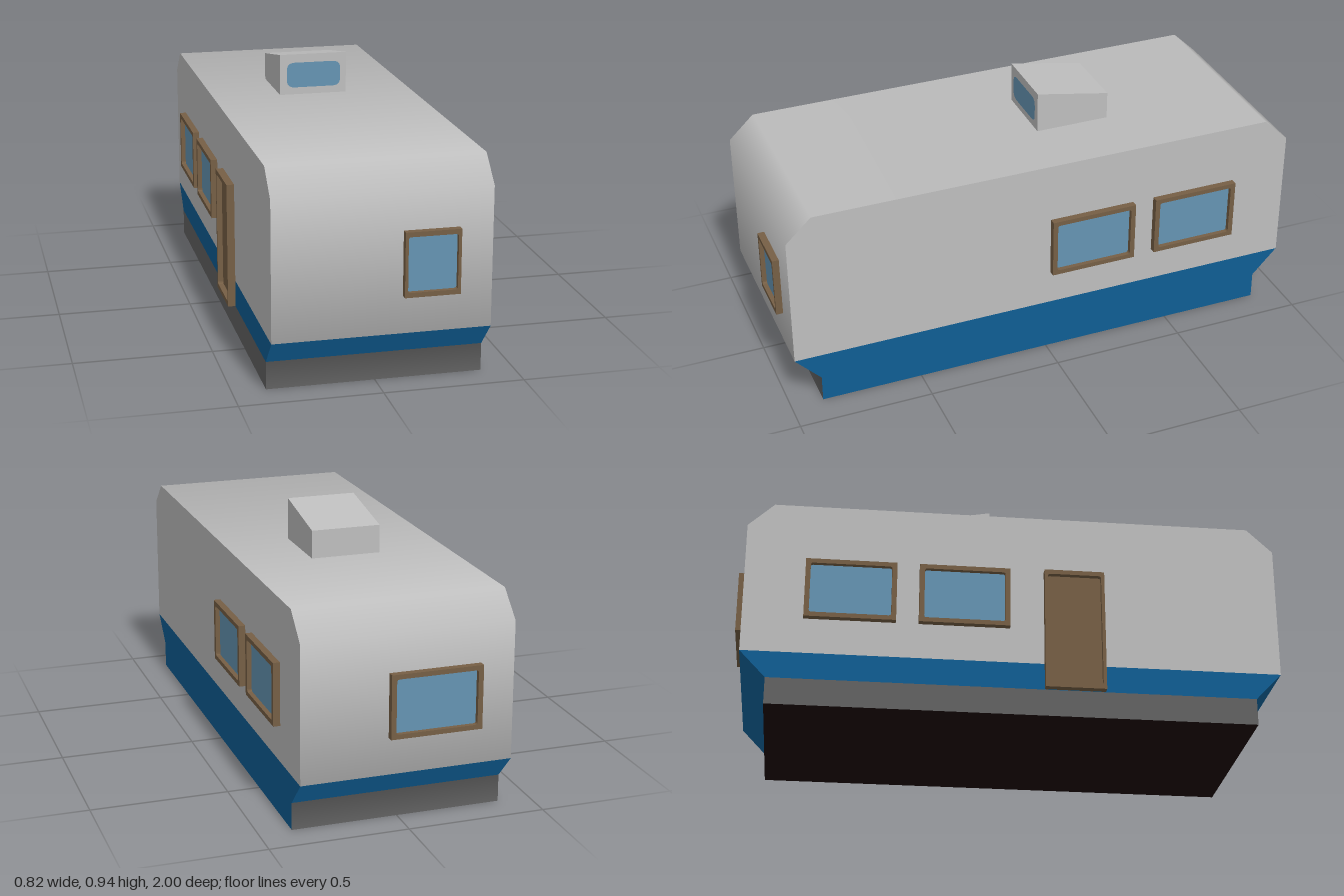
import * as THREE from 'three';

const mat = (name, color) => {
  const m = new THREE.MeshStandardMaterial({ color });
  m.name = name;
  return m;
};

export function createModel() {
  const root = new THREE.Group();
  root.name = 'caravan';
  const shell = mat('shell grey', 0xbebebe);
  const blue = mat('stripe blue', 0x0f5e94);
  const dark = mat('skirt grey', 0x626262);
  const wood = mat('frame brown', 0x765f45);
  const glass = mat('window glass', 0x6594b3);
  const under = mat('underside', 0x1c0909);

  const add = (parent, name, geo, material) => {
    const m = new THREE.Mesh(geo, material);
    m.name = name;
    parent.add(m);
    return m;
  };

  // Body outline as (z, y), from the front foot over the roof to the rear foot
  const W = 0.382;
  const half = [[0.88, 0], [0.88, 0.1], [0.975, 0.2], [0.975, 0.7], [0.88, 0.79]];
  const outline = [...half, ...half.map(([z, y]) => [-z, y]).reverse()];
  const segNormal = (i) => {
    const [a, b] = [outline[i], outline[i + 1]];
    return new THREE.Vector3(0, a[0] - b[0], b[1] - a[1]).normalize();
  };
  const pointNormal = (i) => {
    if (i === 0) return segNormal(0);
    if (i === outline.length - 1) return segNormal(i - 1);
    return segNormal(i - 1).add(segNormal(i)).normalize();
  };

  // Smooth strips across the width, one mesh per colour
  function strip(name, segments, material) {
    const pos = [], nor = [];
    for (const s of segments) {
      const corners = [[-1, s], [1, s], [1, s + 1], [-1, s], [1, s + 1], [-1, s + 1]];
      for (const [side, i] of corners) {
        pos.push(side * W, outline[i][1], outline[i][0]);
        nor.push(...pointNormal(i).toArray());
      }
    }
    const g = new THREE.BufferGeometry();
    g.setAttribute('position', new THREE.Float32BufferAttribute(pos, 3));
    g.setAttribute('normal', new THREE.Float32BufferAttribute(nor, 3));
    add(root, name, g, material);
  }
  strip('roofAndEnds', [2, 3, 4, 5, 6], shell);
  strip('endStripes', [1, 7], blue);
  strip('endSkirts', [0, 8], dark);

  // Flat side walls, cut from the same outline
  function wall(name, side, indices, material) {
    const shape = new THREE.Shape(indices.map((i) => new THREE.Vector2(...outline[i])));
    const m = add(root, name, new THREE.ShapeGeometry(shape), material);
    m.rotation.y = side * Math.PI / 2;
    m.position.x = side * W;
  }
  wall('leftWall', 1, [2, 3, 4, 5, 6, 7], shell);
  wall('leftStripe', 1, [0, 1, 2, 7, 8, 9], blue);
  wall('rightWall', -1, [2, 3, 4, 5, 6, 7], shell);
  wall('rightStripe', -1, [1, 2, 7, 8], blue);
  wall('rightSkirt', -1, [0, 1, 8, 9], dark);
  add(root, 'floor', new THREE.PlaneGeometry(2 * W, 1.76), under).rotation.x = Math.PI / 2;

  // Rounded rectangle path
  function rounded(w, h, r, Type) {
    const p = new Type(), x = w / 2, y = h / 2;
    p.moveTo(-x + r, -y);
    p.lineTo(x - r, -y).quadraticCurveTo(x, -y, x, -y + r);
    p.lineTo(x, y - r).quadraticCurveTo(x, y, x - r, y);
    p.lineTo(-x + r, y).quadraticCurveTo(-x, y, -x, y - r);
    p.lineTo(-x, -y + r).quadraticCurveTo(-x, -y, -x + r, -y);
    return p;
  }

  // Framed opening: a raised border with a recessed pane
  function framed(name, w, h, depth, pane, [x, y, z], turn) {
    const g = new THREE.Group();
    g.name = name;
    const bx = w * 0.055, by = 0.017;
    const s = new THREE.Shape();
    s.moveTo(-w / 2, -h / 2).lineTo(w / 2, -h / 2).lineTo(w / 2, h / 2).lineTo(-w / 2, h / 2).closePath();
    s.holes.push(rounded(w - 2 * bx, h - 2 * by, 0.009, THREE.Path));
    add(g, 'frame', new THREE.ExtrudeGeometry(s, { depth, bevelEnabled: false, curveSegments: 3 }), wood);
    add(g, 'pane', new THREE.PlaneGeometry(w - bx, h - by), pane).position.z = 0.008;
    g.position.set(x, y, z);
    g.rotation.y = turn;
    root.add(g);
  }
  const Q = Math.PI / 2;
  for (const side of [1, -1]) {
    for (const z of [-0.18, -0.592]) {
      framed('sideWindow', 0.33, 0.23, 0.025, glass, [side * W, 0.449, z], side * Q);
    }
  }
  framed('frontWindow', 0.195, 0.23, 0.025, glass, [0.167, 0.449, 0.975], 0);
  framed('backWindow', 0.33, 0.23, 0.025, glass, [-0.095, 0.449, -0.975], Math.PI);
  framed('door', 0.22, 0.465, 0.028, wood, [-W, 0.334, 0.22], -Q);

  // Roof vent: a box whose top slopes down to the rear
  const vent = new THREE.BoxGeometry(0.257, 0.155, 0.28).translate(0.001, 0.8675, -0.204);
  const p = vent.attributes.position;
  for (let i = 0; i < p.count; i++) {
    if (p.getY(i) > 0.9 && p.getZ(i) < -0.2) p.setY(i, 0.893);
  }
  vent.computeVertexNormals();
  add(root, 'roofVent', vent, shell);
  const ventPane = new THREE.ShapeGeometry(rounded(0.208, 0.096, 0.03, THREE.Shape), 6);
  add(root, 'ventWindow', ventPane, glass).position.set(0.003, 0.865, -0.062);

  return root;
}
